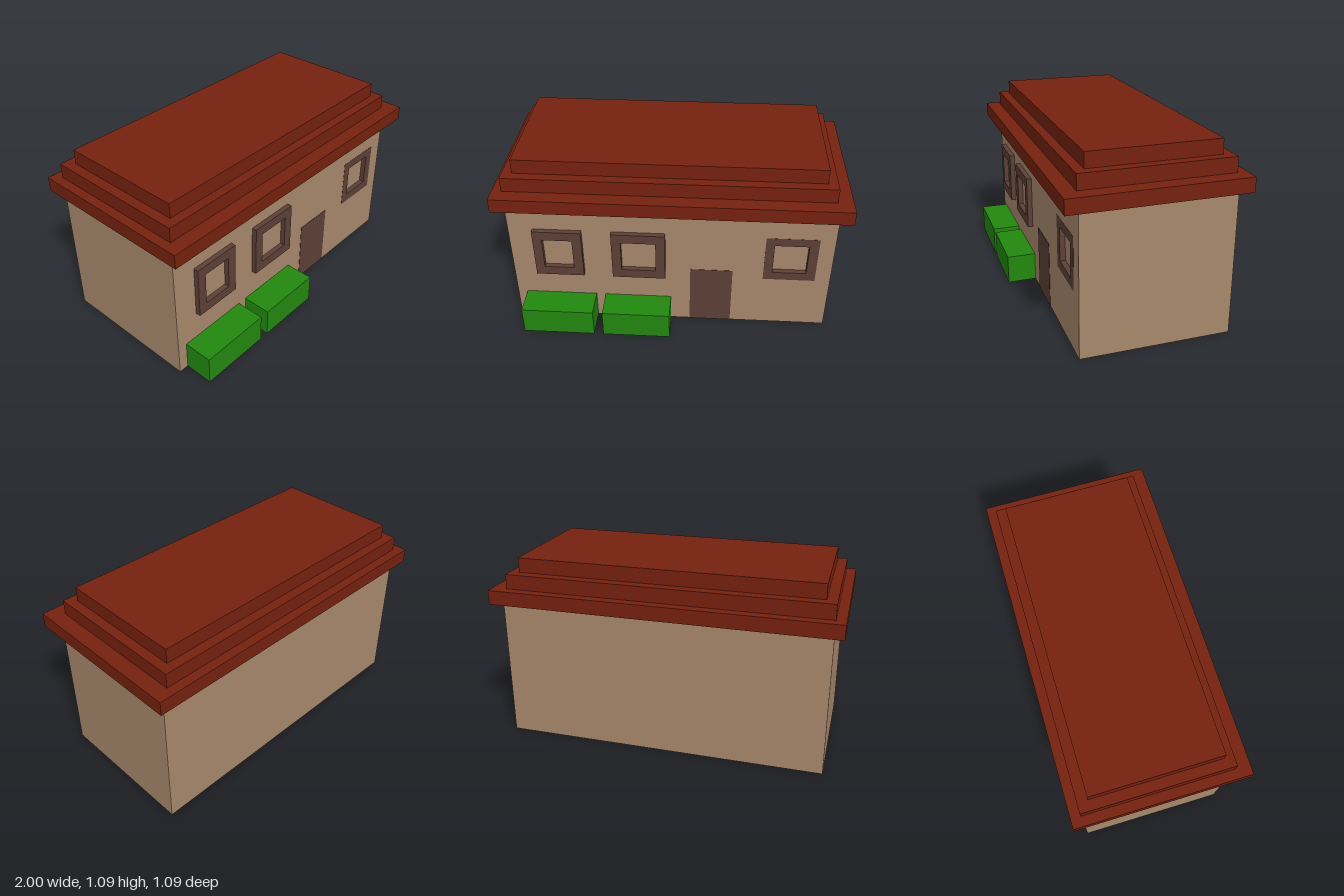
import * as THREE from 'three';

const material = (name, color) => {
  const m = new THREE.MeshStandardMaterial({ color });
  m.name = name;
  return m;
};

export function createModel() {
  const house = new THREE.Group();
  house.name = 'house';

  const wallTan = material('wall tan', 0xa8886c);
  const roofRed = material('roof red', 0x75210e);
  const frameBrown = material('frame brown', 0x5d4037);
  const bushGreen = material('bush green', 0x22880f);

  const add = (name, geometry, mat) => {
    const mesh = new THREE.Mesh(geometry, mat);
    mesh.name = name;
    house.add(mesh);
    return mesh;
  };

  // Box given by its limits on each axis
  const block = (name, mat, [x0, x1], [y0, y1], [z0, z1]) => {
    const g = new THREE.BoxGeometry(x1 - x0, y1 - y0, z1 - z0);
    add(name, g, mat).position.set((x0 + x1) / 2, (y0 + y1) / 2, (z0 + z1) / 2);
  };

  // Rectangular plate with a rectangular opening, extruded from z0 to z1
  const rect = (Type, [x0, x1], [y0, y1]) => {
    const r = new Type();
    r.moveTo(x0, y0).lineTo(x1, y0).lineTo(x1, y1).lineTo(x0, y1).closePath();
    return r;
  };
  const openPlate = (name, mat, xs, ys, holeX, holeY, [z0, z1]) => {
    const shape = rect(THREE.Shape, xs, ys);
    shape.holes.push(rect(THREE.Path, holeX, holeY));
    const g = new THREE.ExtrudeGeometry(shape, { depth: z1 - z0, bevelEnabled: false });
    add(name, g, mat).position.z = z0;
  };

  const back = -0.487, front = 0.371, recess = 0.341;
  const wallX = [-0.945, 0.94], wallY = [0, 0.833];

  // Walls: solid body, and a front layer with the recess for one window
  const sunkX = [0.545, 0.85], sunkY = [0.348, 0.655];
  block('walls', wallTan, wallX, wallY, [back, recess]);
  openPlate('frontWall', wallTan, wallX, wallY, sunkX, sunkY, [recess, front]);

  // Stepped roof
  block('roofEaves', roofRed, [-1, 1], [0.833, 0.917], [-0.543, 0.457]);
  block('roofMiddle', roofRed, [-0.945, 0.911], [0.917, 1.003], [-0.487, 0.371]);
  block('roofTop', roofRed, [-0.887, 0.855], [1.003, 1.089], [-0.428, 0.315]);

  // Window frames: two stand proud of the wall, one is set into it
  const openY = [0.402, 0.602], proud = [front, 0.401];
  openPlate('rightWindowFrame', frameBrown, [-0.802, -0.517], [0.344, 0.66], [-0.748, -0.573], openY, proud);
  openPlate('middleWindowFrame', frameBrown, [-0.345, -0.032], [0.344, 0.66], [-0.29, -0.088], openY, proud);
  openPlate('leftWindowFrame', frameBrown, sunkX, sunkY, [0.597, 0.795], openY, [recess, front + 0.001]);

  // Door
  block('door', frameBrown, [0.115, 0.365], [0, 0.4], [front - 0.002, front + 0.002]);

  // Bushes against the front wall
  block('rightBush', bushGreen, [-0.887, -0.458], [0, 0.173], [front, 0.543]);
  block('leftBush', bushGreen, [-0.402, 0], [0, 0.173], [front, 0.543]);

  return house;
}
